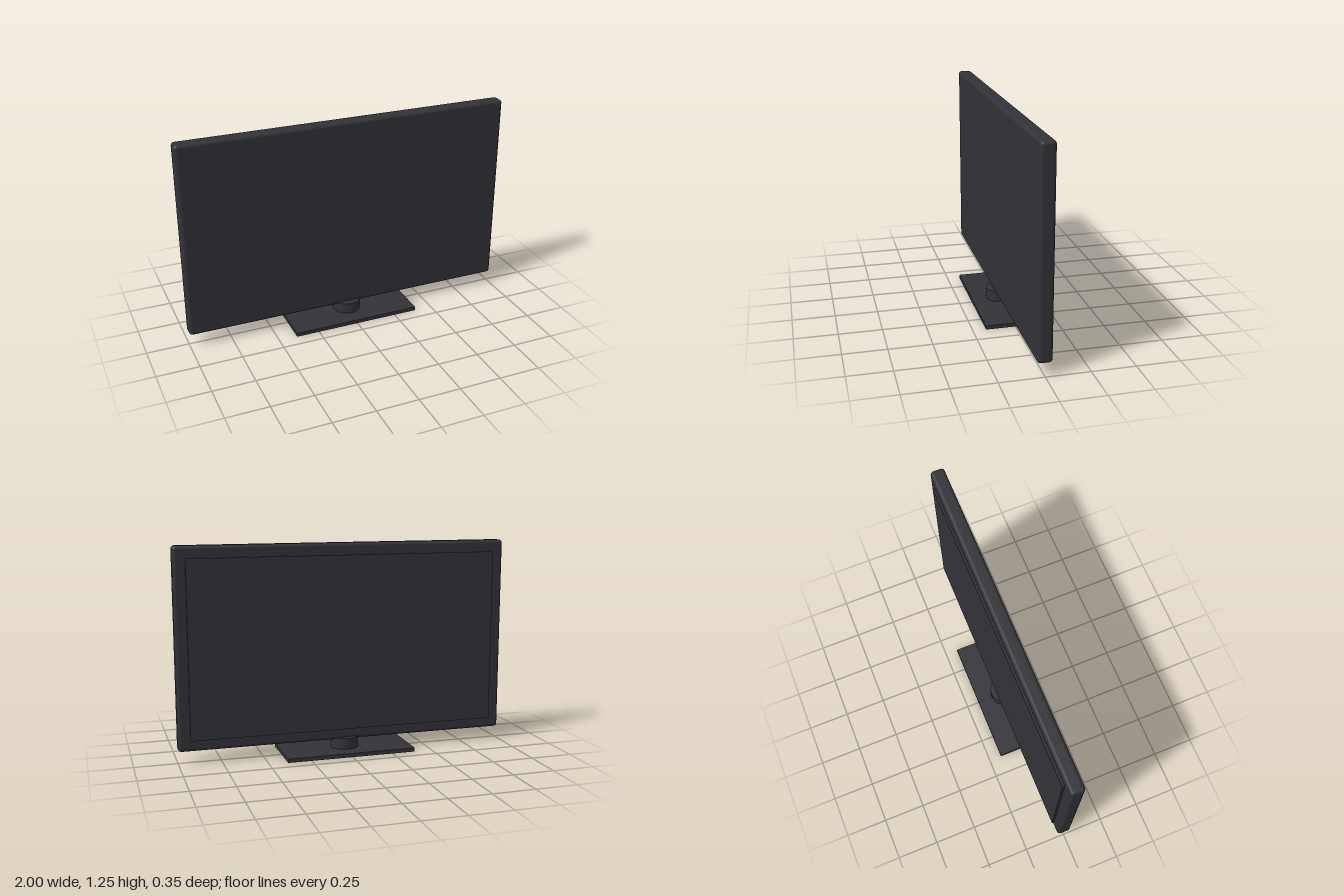
import * as THREE from 'three';
import { RoundedBoxGeometry } from 'three/addons/geometries/RoundedBoxGeometry.js';

export function createModel() {
  const model = new THREE.Group();
  model.name = 'flatScreenTelevision';

  const charcoal = new THREE.MeshStandardMaterial({ color: 0x333238 });
  charcoal.name = 'charcoal plastic';

  const add = (name, geometry, x, y, z) => {
    const mesh = new THREE.Mesh(geometry, charcoal);
    mesh.name = name;
    mesh.position.set(x, y, z);
    model.add(mesh);
  };

  // Screen slab with softly rounded edges
  add('screenPanel', new RoundedBoxGeometry(2, 1.175, 0.084, 3, 0.02), 0, 0.6625, 0);

  // Shallow raised cover on the back
  add('backCover', new THREE.BoxGeometry(1.86, 1.04, 0.03), 0, 0.66, -0.04);

  // Stand: round neck on a flat rectangular foot
  add('standNeck', new THREE.CylinderGeometry(0.084, 0.084, 0.088, 24), 0, 0.045, 0);
  add('standBase', new THREE.BoxGeometry(0.78, 0.023, 0.348), 0, 0.0115, 0);

  return model;
}
